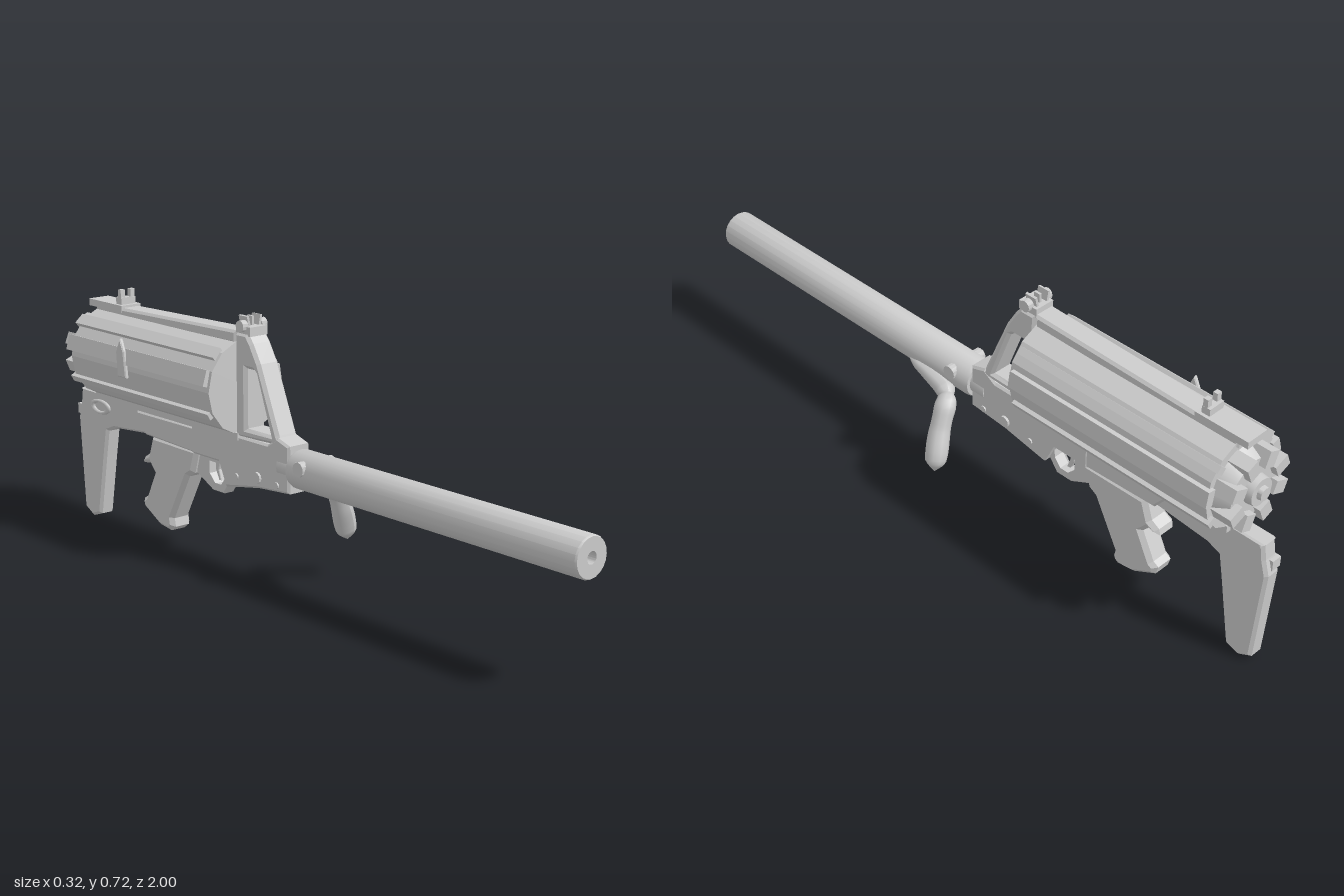
import * as THREE from 'three';
import { toCreasedNormals } from 'three/addons/utils/BufferGeometryUtils.js';

const material = new THREE.MeshStandardMaterial({ color: 0xcccccc, side: THREE.DoubleSide });

export function createModel() {
  const model = new THREE.Group();

  const add = (name, geometry, x = 0, y = 0, z = 0, parent = model) => {
    const mesh = new THREE.Mesh(geometry, material);
    mesh.name = name;
    mesh.position.set(x, y, z);
    parent.add(mesh);
    return mesh;
  };
  const box = (name, w, h, d, x, y, z, parent) => add(name, new THREE.BoxGeometry(w, h, d), x, y, z, parent);
  const crease = (g) => toCreasedNormals(g, 0.6);

  // Side profile given as [z, y] points, extruded across x with a small bevel
  const profile = (name, points, width, holes = [], bevel = 0.006, x = 0) => {
    const toVectors = (list) => list.map(([z, y]) => new THREE.Vector2(z, y));
    const shape = new THREE.Shape(toVectors(points));
    holes.forEach((h) => shape.holes.push(new THREE.Path(toVectors(h))));
    const depth = width - 2 * bevel;
    const g = new THREE.ExtrudeGeometry(shape, {
      depth, bevelEnabled: bevel > 0, bevelSize: bevel, bevelOffset: -bevel,
      bevelThickness: bevel, bevelSegments: 1,
    });
    g.translate(0, 0, -depth / 2);
    g.rotateY(-Math.PI / 2);
    return add(name, g, x);
  };
  // Cylinder lying along z or x
  const rodZ = (name, r1, r2, z1, z2, y, sides = 16) =>
    add(name, crease(new THREE.CylinderGeometry(r1, r2, z1 - z2, sides).rotateX(Math.PI / 2)), 0, y, (z1 + z2) / 2);
  const rodX = (name, r, length, x, y, z) =>
    add(name, crease(new THREE.CylinderGeometry(r, r, length, 12).rotateZ(Math.PI / 2)), x, y, z);

  // Long front tube with a recessed bore
  const tubePoints = [[0, -0.01], [0.05, -0.01], [0.054, 0], [0.054, 0.995], [0.051, 1],
    [0.016, 1], [0.016, 0.93], [0, 0.93]].map(([r, y]) => new THREE.Vector2(r, y));
  add('barrelTube', crease(new THREE.LatheGeometry(tubePoints, 20).rotateX(Math.PI / 2)), 0, 0.337, 0);
  rodZ('barrelNeck', 0.04, 0.04, 0, -0.06, 0.337);
  rodX('pivotBolt', 0.02, 0.118, 0, 0.355, 0.05);

  // Receiver with its rear bar
  profile('receiver', [[-0.012, 0.4], [-0.012, 0.27], [-0.14, 0.26], [-0.28, 0.235], [-0.31, 0.3],
    [-0.43, 0.3], [-0.43, 0.39], [-0.1, 0.39], [-0.06, 0.415]], 0.074);
  profile('rearBar', [[-0.4, 0.39], [-0.4, 0.3], [-0.65, 0.31], [-0.83, 0.295], [-0.87, 0.3], [-0.98, 0.39]], 0.05);
  profile('gripShoulder', [[-0.36, 0.375], [-0.4, 0.3], [-0.65, 0.31], [-0.69, 0.36], [-0.69, 0.375]], 0.07);
  box('magazineSaddle', 0.08, 0.02, 0.66, 0, 0.388, -0.55);
  rodX('receiverPin', 0.016, 0.088, 0, 0.29, -0.14);
  rodX('smallPin', 0.009, 0.082, 0, 0.275, -0.23);
  rodX('frontPin', 0.009, 0.082, 0, 0.285, -0.06);

  // Trigger and guard
  profile('triggerGuard', [[-0.27, 0.305], [-0.28, 0.245], [-0.31, 0.205], [-0.36, 0.205], [-0.43, 0.24], [-0.43, 0.305]],
    0.036, [[[-0.295, 0.29], [-0.3, 0.25], [-0.32, 0.225], [-0.35, 0.225], [-0.375, 0.25], [-0.375, 0.29]]], 0.003);
  profile('trigger', [[-0.335, 0.31], [-0.345, 0.265], [-0.335, 0.235], [-0.345, 0.235], [-0.36, 0.265], [-0.36, 0.31]], 0.014, [], 0.002);

  // Raked pistol grip with a rear spur and a flared heel
  profile('pistolGrip', [[-0.41, 0.31], [-0.43, 0.24], [-0.455, 0.225], [-0.53, 0.085], [-0.525, 0.06], [-0.545, 0.045],
    [-0.595, 0.052], [-0.665, 0.09], [-0.672, 0.115], [-0.655, 0.125], [-0.615, 0.205], [-0.635, 0.228],
    [-0.67, 0.222], [-0.665, 0.24], [-0.64, 0.255], [-0.62, 0.315]], 0.07, [], 0.012);

  // Shoulder stock
  profile('stock', [[-0.8, 0.39], [-0.8, 0.3], [-0.85, 0.28], [-0.865, 0.2], [-0.897, 0.015], [-0.94, 0], [-0.978, 0.02],
    [-0.998, 0.3], [-0.985, 0.345], [-0.978, 0.39]], 0.05, [], 0.008);
  box('buttCatch', 0.03, 0.03, 0.025, -0.01, 0.325, -0.985);
  const sling = add('slingLoop', new THREE.TorusGeometry(0.022, 0.006, 6, 14), -0.033, 0.352, -0.87);
  sling.rotation.y = Math.PI / 2;
  sling.scale.set(1.8, 0.8, 1);

  // Sight tower: open triangular bracket
  profile('sightTower', [[-0.05, 0.395], [-0.06, 0.42], [-0.135, 0.6], [-0.165, 0.65], [-0.185, 0.675], [-0.235, 0.675], [-0.235, 0.385]],
    0.072, [[[-0.09, 0.415], [-0.148, 0.57], [-0.16, 0.58], [-0.19, 0.58], [-0.19, 0.415]]], 0.009);
  box('frontSightBase', 0.06, 0.025, 0.06, 0, 0.68, -0.205);
  box('frontSightBlade', 0.007, 0.035, 0.02, 0, 0.7, -0.21);
  for (const side of [-1, 1]) {
    rodX('frontSightKnob', 0.016, 0.018, side * 0.033, 0.693, -0.205);
    const ear = box('frontSightEar', 0.007, 0.04, 0.035, side * 0.019, 0.7, -0.21);
    ear.rotation.z = -side * 0.2;
  }

  // Faceted drum with long ribs
  const drumY = 0.518;
  const drum = new THREE.CylinderGeometry(0.132, 0.132, 0.64, 14);
  drum.rotateX(Math.PI / 2).rotateZ(Math.PI / 14).scale(0.95, 1, 1);
  add('drumMagazine', toCreasedNormals(drum, 0.3), 0, drumY, -0.555);
  const ribs = new THREE.Group();
  ribs.name = 'drumRibs';
  ribs.position.y = drumY;
  model.add(ribs);
  // [angle in degrees, rib width]
  [[43, 0.02], [9, 0.045], [-30, 0.02], [131, 0.035], [163, 0.045], [210, 0.02]].forEach(([deg, w]) => {
    const a = THREE.MathUtils.degToRad(deg);
    const rib = box('drumRib', 0.024, w, 0.64, Math.cos(a) * 0.124, Math.sin(a) * 0.126, -0.565, ribs);
    rib.rotation.z = a;
  });
  profile('topRail', [[-0.235, 0.64], [-0.235, 0.676], [-0.88, 0.66], [-0.88, 0.63]], 0.066, [], 0.007);
  const lever = profile('sideLever', [[-0.59, 0.5], [-0.6, 0.575], [-0.615, 0.61], [-0.635, 0.57], [-0.63, 0.5]], 0.012, [], 0.003, -0.134);
  lever.name = 'sideLever';

  // Rear winding cap: stepped hub with radial teeth
  rodZ('rearCap', 0.108, 0.085, -0.87, -0.915, drumY, 14);
  rodZ('rearHub', 0.042, 0.038, -0.9, -0.938, drumY);
  rodZ('hubButton', 0.02, 0.018, -0.93, -0.95, drumY, 12);
  for (let i = 0; i < 8; i++) {
    const a = ((i + 0.5) / 8) * Math.PI * 2;
    const tooth = box('capTooth', 0.045, 0.036, 0.06, Math.cos(a) * 0.085, drumY + Math.sin(a) * 0.085, -0.905);
    tooth.rotation.z = a;
  }

  // Rear sight
  box('rearSightBase', 0.068, 0.02, 0.16, 0, 0.66, -0.83);
  box('rearSightBridge', 0.05, 0.024, 0.025, 0, 0.678, -0.775);
  for (const side of [-1, 1]) box('rearSightEar', 0.015, 0.035, 0.014, side * 0.017, 0.695, -0.772);

  // Folding foregrip: thin arm sweeping into an outward handle
  const limb = (name, points, radii) => {
    const curve = new THREE.CatmullRomCurve3(points.map((p) => new THREE.Vector3(...p)));
    const n = 24, sides = 10;
    const g = new THREE.TubeGeometry(curve, n, 1, sides);
    const pos = g.attributes.position;
    const v = new THREE.Vector3();
    for (let i = 0; i < pos.count; i++) {
      const t = Math.floor(i / (sides + 1)) / n;
      const c = curve.getPointAt(t);
      const f = t * (radii.length - 1), k = Math.min(Math.floor(f), radii.length - 2);
      const r = THREE.MathUtils.lerp(radii[k], radii[k + 1], f - k);
      v.fromBufferAttribute(pos, i).sub(c).multiplyScalar(r).add(c);
      pos.setXYZ(i, v.x, v.y, v.z);
    }
    g.computeVertexNormals();
    add(name, g);
  };
  limb('foregripArm', [[0.045, 0.312, 0.22], [0.052, 0.305, 0.13], [0.062, 0.295, 0.06], [0.085, 0.285, 0.02]],
    [0.001, 0.016, 0.021, 0.025, 0.027, 0.001]);
  limb('foregripHandle', [[0.055, 0.3, 0.05], [0.09, 0.277, 0.03], [0.125, 0.21, 0.018], [0.15, 0.155, 0.004], [0.164, 0.11, -0.002]],
    [0.001, 0.025, 0.03, 0.028, 0.028, 0.03, 0.031, 0.031, 0.028, 0.001]);

  return model;
}
